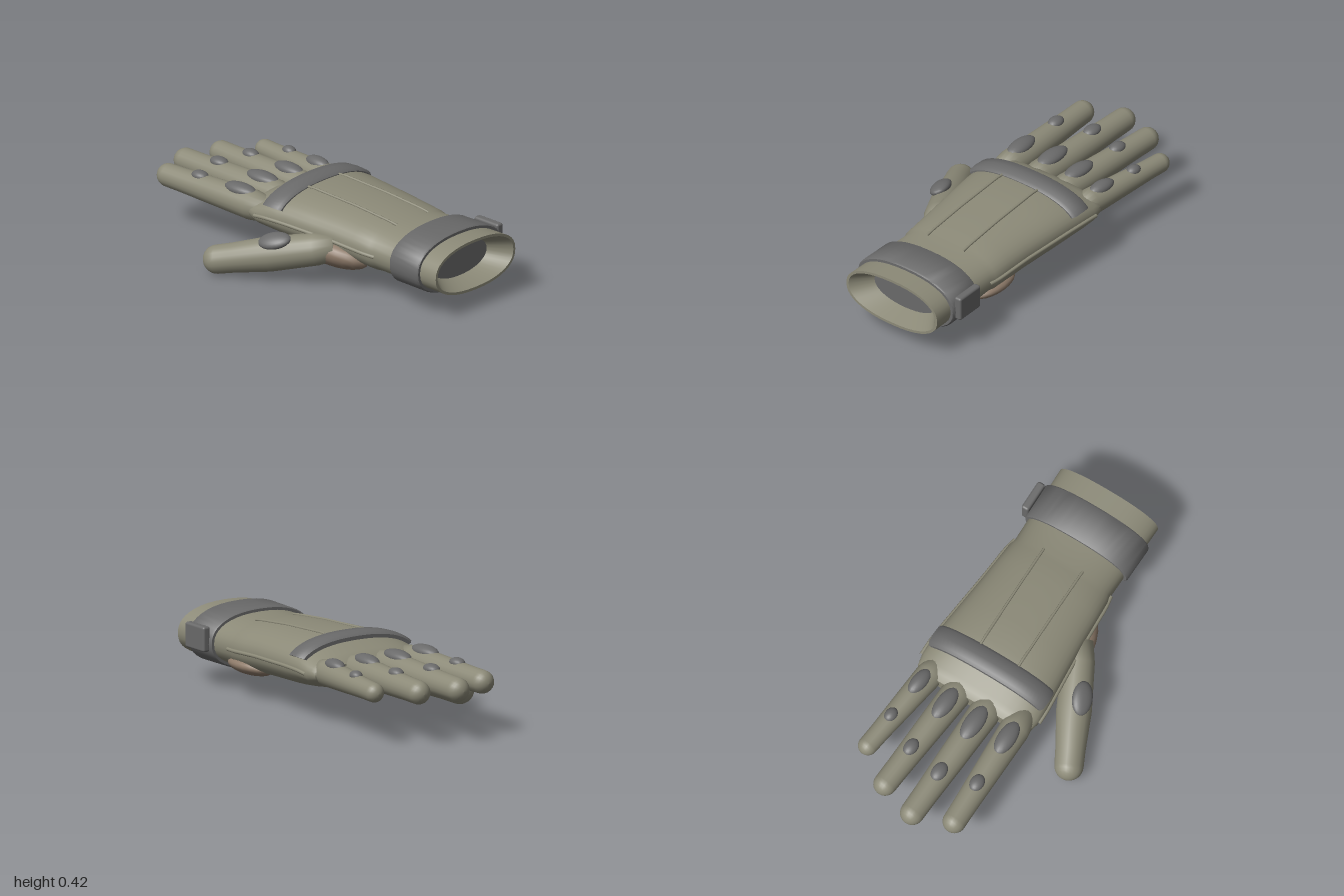
import * as THREE from 'three';
import { toCreasedNormals } from 'three/addons/utils/BufferGeometryUtils.js';
import { RoundedBoxGeometry } from 'three/addons/geometries/RoundedBoxGeometry.js';

const V = (x, y, z) => new THREE.Vector3(x, y, z);
const fabric = new THREE.MeshStandardMaterial({ color: 0x8c8a78 });
const armour = new THREE.MeshStandardMaterial({ color: 0x6a6a6a });
const leather = new THREE.MeshStandardMaterial({ color: 0x8d7a69 });

// Glove skin sections: z, half width, top y, bottom y
const SKIN = [
  [1, 0.288, 0.375, 0.105], [0.56, 0.28, 0.37, 0.108], [0.53, 0.29, 0.376, 0.106],
  [0.3, 0.305, 0.395, 0.12], [0, 0.333, 0.407, 0.135], [-0.12, 0.343, 0.395, 0.15],
  [-0.2, 0.343, 0.365, 0.165], [-0.26, 0.33, 0.342, 0.19], [-0.29, 0.29, 0.315, 0.225],
];
const POWER = 2.3;

function sectionAt(z) {
  let i = 0;
  while (i < SKIN.length - 2 && z < SKIN[i + 1][0]) i++;
  const a = SKIN[i], b = SKIN[i + 1];
  const t = (z - a[0]) / (b[0] - a[0]);
  const [w, top, bottom] = [1, 2, 3].map((k) => a[k] + (b[k] - a[k]) * t);
  return { cx: 0.12 + 0.006 * THREE.MathUtils.clamp(1 - z, 0, 1), cy: (top + bottom) / 2, w, h: (top - bottom) / 2 };
}

// Point on the skin at depth z and angle a, pushed out by off
function skin(z, a, off = 0) {
  const s = sectionAt(z);
  const bend = (v) => Math.sign(v) * Math.abs(v) ** (2 / POWER);
  return V(s.cx + (s.w + off) * bend(Math.cos(a)), s.cy + (s.h + off) * bend(Math.sin(a)), z);
}

const ring = (fn, n = 40) => Array.from({ length: n }, (_, j) => fn((j / n) * Math.PI * 2));

// Surface through closed rings of points, with both ends capped
function loft(rings, crease = 0.7) {
  const mid = (r) => {
    const c = r.reduce((s, p) => s.add(p), V(0, 0, 0)).divideScalar(r.length);
    return r.map(() => c);
  };
  const all = [mid(rings[0]), ...rings, mid(rings[rings.length - 1])];
  const n = rings[0].length, index = [];
  for (let i = 0; i < all.length - 1; i++) {
    for (let j = 0; j < n; j++) {
      const a = i * n + j, b = i * n + ((j + 1) % n);
      if (i > 0) index.push(a, a + n, b);
      if (i === 0) index.push(a, a + n, b + n);
      else if (i < all.length - 2) index.push(b, a + n, b + n);
    }
  }
  const g = new THREE.BufferGeometry().setFromPoints(all.flat());
  g.setIndex(index);
  return toCreasedNormals(g, crease);
}

// Tapered digit with a rounded end, from base to tip
function digit(base, tip, rBase, rMid, rTip) {
  const len = base.distanceTo(tip), end = len - rTip;
  const profile = [[0.001, 0], [rBase * 0.8, 0], [rBase, len * 0.15], [rMid, len * 0.5], [rTip * 1.03, len * 0.78]];
  for (let i = 0; i <= 7; i++) {
    const a = (i / 7) * Math.PI / 2;
    profile.push([Math.max(rTip * Math.cos(a), 0.0005), end + rTip * Math.sin(a)]);
  }
  const g = new THREE.LatheGeometry(profile.map(([r, y]) => new THREE.Vector2(r, y)), 20);
  const dir = tip.clone().sub(base).normalize();
  g.applyQuaternion(new THREE.Quaternion().setFromUnitVectors(V(0, 1, 0), dir));
  return g.translate(base.x, base.y, base.z);
}

export function createModel() {
  const group = new THREE.Group();
  const add = (name, geometry, material) => {
    const m = new THREE.Mesh(geometry, material);
    m.name = name;
    group.add(m);
    return m;
  };
  const pad = (name, p, r, material, yaw = 0, roll = 0) => {
    const m = add(name, new THREE.SphereGeometry(1, 20, 14), material);
    m.position.copy(p);
    m.scale.set(...r);
    m.rotation.set(0, yaw, roll, 'ZYX');
  };

  // Hand shell and hollow cuff in one skin
  const inner = (z, w, h) => ring((a) => V(0.12 + w * Math.cos(a), 0.24 + h * Math.sin(a), z));
  const lining = [inner(0.72, 0.088, 0.042), inner(0.84, 0.16, 0.075), ring((a) => skin(1, a, -0.014))];
  const depths = [1, 0.8, 0.56, 0.53, 0.42, 0.3, 0.15, 0, -0.06, -0.12, -0.16, -0.2, -0.23, -0.26, -0.29];
  add('handShell', loft([...lining, ...depths.map((z) => ring((a) => skin(z, a)))]), fabric);

  // Dark band deep inside the cuff
  const band = loft([inner(0.723, 0.088, 0.042), inner(0.843, 0.16, 0.075)]);
  const bandFaces = band.getAttribute('position').count;
  band.setDrawRange(40 * 3, bandFaces - 80 * 3 > 0 ? 80 * 3 : bandFaces);
  add('cuffLiningBand', band, armour);

  // Wrist strap and buckle
  const strap = [[0.89, -0.01], [0.89, 0.014], [0.882, 0.02], [0.698, 0.02], [0.69, 0.014], [0.69, -0.01]];
  const strapRings = strap.map(([z, off]) => ring((a) => skin(z, a, off)));
  const strapGeometry = loft(strapRings);
  // Keep only the walls, so the cuff stays open
  const wall = strapGeometry.getAttribute('position').count - 80 * 3;
  strapGeometry.setDrawRange(40 * 3, wall);
  add('wristStrap', strapGeometry, armour);
  add('strapBuckle', new RoundedBoxGeometry(0.042, 0.13, 0.165, 3, 0.012).translate(0.435, 0.264, 0.79), armour);

  // Knuckle bar wrapped over the back of the hand
  const bar = [[-0.16, 0.004], [-0.145, 0.017], [-0.1, 0.02], [-0.05, 0.017], [-0.035, 0.004], [-0.035, -0.015], [-0.16, -0.015]];
  const barRings = [];
  for (let i = 0; i <= 28; i++) {
    const a = THREE.MathUtils.degToRad(22 + (136 * i) / 28);
    barRings.push(bar.map(([z, off]) => {
      const p = skin(-0.08, a, off + 0.004);
      return V(p.x, p.y, z);
    }));
  }
  add('knuckleBar', loft(barRings), armour);

  // Raised seams along the back and sides
  const seam = (name, from, to, r, at) => {
    const pts = Array.from({ length: 12 }, (_, i) => at(from + ((to - from) * i) / 11));
    add(name, new THREE.TubeGeometry(new THREE.CatmullRomCurve3(pts), 24, r, 8), fabric);
  };
  for (const [x0, x1] of [[0.005, 0.003], [0.232, 0.225]]) {
    seam('backSeam', 0.57, -0.05, 0.007, (z) => {
      const x = THREE.MathUtils.lerp(x1, x0, z / 0.57), s = sectionAt(z);
      const c = (x - s.cx) / s.w;
      return skin(z, Math.acos(Math.sign(c) * Math.abs(c) ** (POWER / 2)), 0.002);
    });
  }
  for (const a of [0, Math.PI]) seam('sideSeam', 0.57, -0.2, 0.01, (z) => skin(z, a, 0.003));

  // Fingers: base x, tip x, tip z, radii, knuckle pad and joint pad (x, z, half width, half length)
  const fingers = [
    ['indexFinger', -0.133, -0.14, -0.925, 0.078, 0.069, 0.06, [-0.138, -0.37, 0.048, 0.1], [-0.138, -0.65, 0.036, 0.049]],
    ['middleFinger', 0.035, 0.065, -1, 0.08, 0.072, 0.062, [0.043, -0.39, 0.049, 0.107], [0.053, -0.7, 0.038, 0.055]],
    ['ringFinger', 0.205, 0.263, -0.94, 0.078, 0.069, 0.06, [0.22, -0.378, 0.046, 0.1], [0.242, -0.663, 0.035, 0.05]],
    ['littleFinger', 0.368, 0.446, -0.803, 0.07, 0.06, 0.05, [0.392, -0.345, 0.04, 0.08], [0.42, -0.568, 0.031, 0.041]],
  ];
  for (const [name, x0, x1, z1, rb, rm, rt, knuckle, joint] of fingers) {
    const base = V(x0, 0.272, -0.18);
    add(name, digit(base, V(x1, 0.271, z1), rb, rm, rt), fabric);
    const yaw = Math.atan2(x0 - x1, -0.18 - z1);
    const [kx, kz, kw, kl] = knuckle, [jx, jz, jw, jl] = joint;
    pad('knucklePad', V(kx, 0.257 + rb, kz), [kw, 0.032, kl], armour, yaw);
    pad('jointPad', V(jx, 0.26 + rm, jz), [jw, 0.026, jl], armour, yaw);
  }

  // Thumb with its pad
  add('thumb', digit(V(-0.15, 0.215, 0.3), V(-0.462, 0.061, -0.317), 0.083, 0.09, 0.074), fabric);
  pad('thumbPad', V(-0.325, 0.228, 0.04), [0.055, 0.03, 0.088], armour, 0.45, 0.5);

  // Padding at the heel of the palm
  pad('thumbHeelPad', V(-0.14, 0.173, 0.27), [0.098, 0.066, 0.2], leather, 0.2, -0.45);
  pad('outerHeelPad', V(0.335, 0.16, 0.47), [0.09, 0.042, 0.155], leather, 0, 0.2);
  return group;
}
